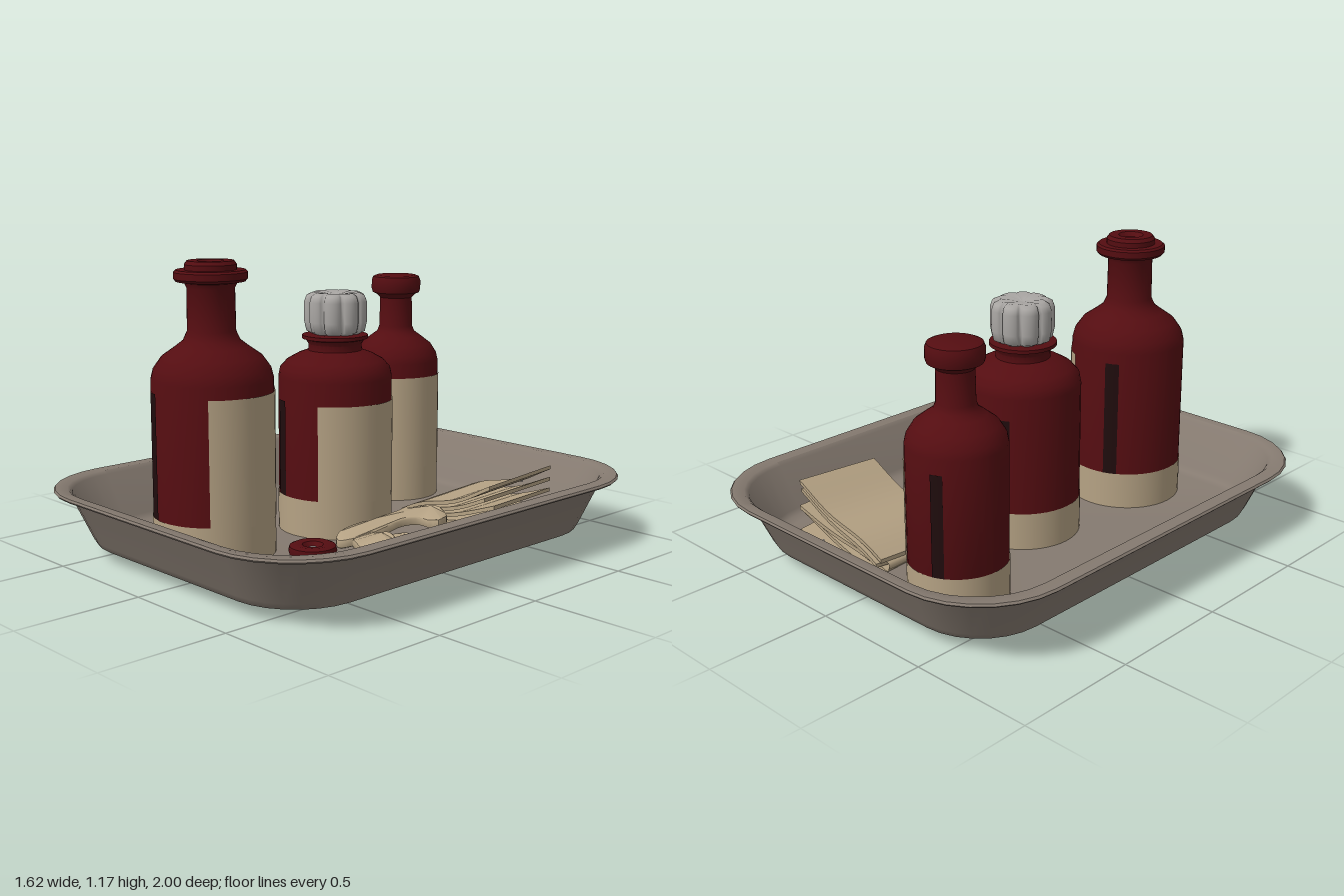
import * as THREE from 'three';
import { toCreasedNormals } from 'three/addons/utils/BufferGeometryUtils.js';

const mat = (name, color, side = THREE.FrontSide) => {
  const m = new THREE.MeshStandardMaterial({ color, side });
  m.name = name;
  return m;
};
const rad = THREE.MathUtils.degToRad;

export function createModel() {
  const steel = mat('tray grey', 0x857a70);
  const red = mat('dark red glass', 0x540d11);
  const cream = mat('cream paper', 0xb5a284, THREE.DoubleSide);
  const dark = mat('dark stripe', 0x1f0c0d);
  const grey = mat('stopper grey', 0xa9a6a3);

  const model = new THREE.Group();
  const add = (parent, name, geometry, material, x = 0, y = 0, z = 0) => {
    const mesh = new THREE.Mesh(geometry, material);
    mesh.name = name;
    mesh.position.set(x, y, z);
    parent.add(mesh);
    return mesh;
  };
  const lathe = (points, segments = 36) => toCreasedNormals(
    new THREE.LatheGeometry(points.map(([r, y]) => new THREE.Vector2(r, y)), segments), 0.6);
  // Move each vertex by a rule
  const warp = (geometry, rule) => {
    const p = geometry.attributes.position, v = new THREE.Vector3();
    for (let i = 0; i < p.count; i++) {
      rule(v.fromBufferAttribute(p, i));
      p.setXYZ(i, v.x, v.y, v.z);
    }
    geometry.computeVertexNormals();
    return geometry;
  };

  // Tray: rounded rectangles (half width, half depth, corner radius, height) lofted from the
  // underside, over the rim and down to the floor
  const rings = [
    [0, 0, 0, 0.04], [0.635, 0.83, 0.25, 0.04], [0.662, 0.857, 0.27, 0.05], [0.675, 0.872, 0.28, 0.075],
    [0.742, 0.942, 0.31, 0.25], [0.755, 0.95, 0.32, 0.262], [0.805, 0.995, 0.36, 0.26], [0.812, 1, 0.365, 0.267],
    [0.805, 0.995, 0.36, 0.275], [0.75, 0.955, 0.32, 0.275], [0.735, 0.94, 0.31, 0.262],
    [0.67, 0.868, 0.27, 0.085], [0.652, 0.85, 0.25, 0.065], [0.62, 0.82, 0.24, 0.058], [0, 0, 0, 0.058],
  ];
  const steps = 7, count = 4 * (steps + 1), position = [], index = [];
  rings.forEach(([hx, hz, r, y], i) => {
    for (let j = 0; j < count; j++) {
      const k = Math.floor(j / (steps + 1));
      const a = (k + (j % (steps + 1)) / steps) * Math.PI / 2;
      const sx = k === 0 || k === 3 ? 1 : -1, sz = k < 2 ? 1 : -1;
      position.push(sx * (hx - r) + r * Math.cos(a), y, sz * (hz - r) + r * Math.sin(a));
      if (i < rings.length - 1) {
        const a0 = i * count + j, b0 = i * count + (j + 1) % count;
        index.push(a0, a0 + count, b0, b0, a0 + count, b0 + count);
      }
    }
  });
  const trayGeometry = new THREE.BufferGeometry();
  trayGeometry.setAttribute('position', new THREE.Float32BufferAttribute(position, 3));
  trayGeometry.setIndex(index);
  add(model, 'tray', toCreasedNormals(trayGeometry, 0.7), steel);

  // Bottles: turned glass, a base band, a label facing +x and two dark stripes
  const bottle = (name, x, z, radius, profile, labelTop, front, back) => {
    const group = new THREE.Group();
    group.name = name;
    group.position.set(x, 0, z);
    model.add(group);
    add(group, 'glass', lathe(profile), red);
    const wrap = (part, material, low, high, start, sweep, lift) => add(group, part,
      new THREE.CylinderGeometry(radius + lift, radius + lift, high - low, Math.ceil(sweep / 8), 1, true,
        rad(start), rad(sweep)), material, 0, (low + high) / 2, 0);
    wrap('baseBand', cream, 0.05, 0.21, 0, 360, 0.003);
    wrap('label', cream, 0.2, labelTop, 90 - front, front + back, 0.004);
    for (const angle of [-18, 204]) wrap('stripe', dark, 0.21, labelTop + 0.005, angle - 7, 14, 0.004);
    return group;
  };
  bottle('tallBottle', -0.12, 0.555, 0.232, [
    [0.22, 0.025], [0.232, 0.04], [0.232, 0.73], [0.222, 0.77], [0.19, 0.815], [0.14, 0.85], [0.108, 0.875],
    [0.092, 0.91], [0.09, 1.07], [0.1, 1.09], [0.13, 1.095], [0.139, 1.105], [0.139, 1.13], [0.13, 1.138],
    [0.098, 1.138], [0.098, 1.158], [0.088, 1.172], [0.05, 1.172], [0.035, 1.155], [0, 1.155],
  ], 0.685, 42, 64);
  const middle = bottle('middleBottle', -0.07, -0.03, 0.229, [
    [0, 0.06], [0.229, 0.06], [0.229, 0.68], [0.222, 0.715], [0.195, 0.745], [0.15, 0.77], [0.108, 0.785],
    [0.107, 0.81], [0.118, 0.828], [0.132, 0.832], [0.132, 0.846], [0.1, 0.85], [0, 0.85],
  ], 0.59, 60, 56);
  bottle('smallBottle', -0.297, -0.61, 0.187, [
    [0.178, 0.025], [0.187, 0.04], [0.187, 0.66], [0.18, 0.69], [0.155, 0.73], [0.11, 0.765], [0.082, 0.785],
    [0.072, 0.81], [0.07, 0.935], [0.085, 0.95], [0.102, 0.958], [0.107, 0.975], [0.107, 1.01], [0.1, 1.027],
    [0.085, 1.033], [0, 1.033],
  ], 0.6, 68, 50);

  // Fluted stopper on the middle bottle
  const stopper = new THREE.LatheGeometry([[0.09, 0.85], [0.113, 0.862], [0.121, 0.9], [0.121, 0.98],
    [0.112, 1.005], [0.09, 1.016], [0.03, 1.008], [0, 1.004]].map(([r, y]) => new THREE.Vector2(r, y)), 90);
  warp(stopper, (v) => {
    const a = Math.atan2(v.x, v.z);
    const s = 0.86 + 0.19 * Math.sqrt(Math.abs(Math.sin(4.5 * (a + Math.PI))));
    v.x *= s;
    v.z *= s;
  });
  add(middle, 'stopper', stopper, grey, 0, 0, -0.005);

  // Loose cap lying on the tray
  const cap = new THREE.Group();
  cap.name = 'looseCap';
  cap.position.set(0.24, 0.058, 0.375);
  model.add(cap);
  add(cap, 'capSkirt', lathe([[0.08, 0], [0.088, 0.008], [0.088, 0.03]], 24), grey);
  add(cap, 'capTop', lathe([[0.088, 0.03], [0.092, 0.042], [0.088, 0.06], [0.07, 0.068], [0.04, 0.064],
    [0.026, 0.045], [0, 0.045]], 24), red);
  add(cap, 'capCentre', lathe([[0.02, 0.046], [0.016, 0.052], [0, 0.052]], 12), grey);

  // Folded cloth: a fan of tilted, gently waved layers
  const cloth = new THREE.Group();
  cloth.name = 'foldedCloth';
  model.add(cloth);
  for (let i = 0; i < 5; i++) {
    const t = i / 4, turn = [0.13, -0.1, 0.07, -0.06, 0.0][i];
    const layer = new THREE.BoxGeometry(0.48, 0.016, 0.385, 16, 1, 6);
    warp(layer, (v) => {
      const x = v.x * Math.cos(turn) + v.z * Math.sin(turn) + 0.265;
      const z = v.z * Math.cos(turn) - v.x * Math.sin(turn) - 0.515;
      const rise = (0.17 + 0.2 * t) * Math.max(x, 0) - 0.06 * t * (z + 0.515);
      v.set(x, v.y + 0.009 + 0.07 * t + rise + 0.012 * t * Math.sin(x * 14), z);
    });
    add(cloth, 'clothLayer', toCreasedNormals(layer, 0.7), cream);
  }
  // Rolled fold joining the top layers
  const fold = new THREE.CatmullRomCurve3([[0.03, 0.075, -0.68], [0.04, 0.07, -0.5], [0.04, 0.065, -0.33]]
    .map((p) => new THREE.Vector3(...p)));
  add(cloth, 'clothFold', new THREE.TubeGeometry(fold, 8, 0.02, 8), cream);

  // Crumpled scraps, drawn in plan (x, z) and lifted by a wave
  const scrap = (name, points, base, slope) => {
    const outline = new THREE.SplineCurve([...points, points[0]].map(([x, z]) => new THREE.Vector2(x, -z)));
    const geometry = new THREE.ExtrudeGeometry(new THREE.Shape(outline.getPoints(48)),
      { depth: 0.022, steps: 1, bevelEnabled: true, bevelSize: 0.005, bevelThickness: 0.006, bevelSegments: 2 });
    geometry.rotateX(-Math.PI / 2);
    warp(geometry, (v) => {
      v.y += base + slope * (0.2 - v.z) + 0.008 * Math.sin(v.x * 40 + v.z * 15);
    });
    add(model, name, toCreasedNormals(geometry, 0.6), cream);
  };
  scrap('curvedScrap', [[0.17, -0.2], [0.27, -0.25], [0.36, -0.23], [0.4, -0.14], [0.31, -0.15], [0.26, -0.08],
    [0.25, 0.03], [0.24, 0.15], [0.2, 0.2], [0.16, 0.15], [0.165, -0.03]], 0.075, 0.12);
  scrap('leafScrap', [[0.25, 0.07], [0.33, 0.06], [0.43, 0.1], [0.475, 0.18], [0.455, 0.28], [0.36, 0.22],
    [0.26, 0.18]], 0.075, 0.1);
  scrap('roundScrap', [[0.28, 0.04], [0.31, -0.01], [0.38, -0.01], [0.43, 0.04], [0.42, 0.1], [0.33, 0.09]],
    0.066, 0.05);

  // Tiny crossed threads by the back wall
  for (const [x0, z0, x1, z1] of [[0.19, -0.82, 0.25, -0.85], [0.22, -0.88, 0.235, -0.81]]) {
    const path = new THREE.LineCurve3(new THREE.Vector3(x0, 0.15, z0), new THREE.Vector3(x1, 0.16, z1));
    add(model, 'thread', new THREE.TubeGeometry(path, 1, 0.005, 5), grey);
  }
  return model;
}
